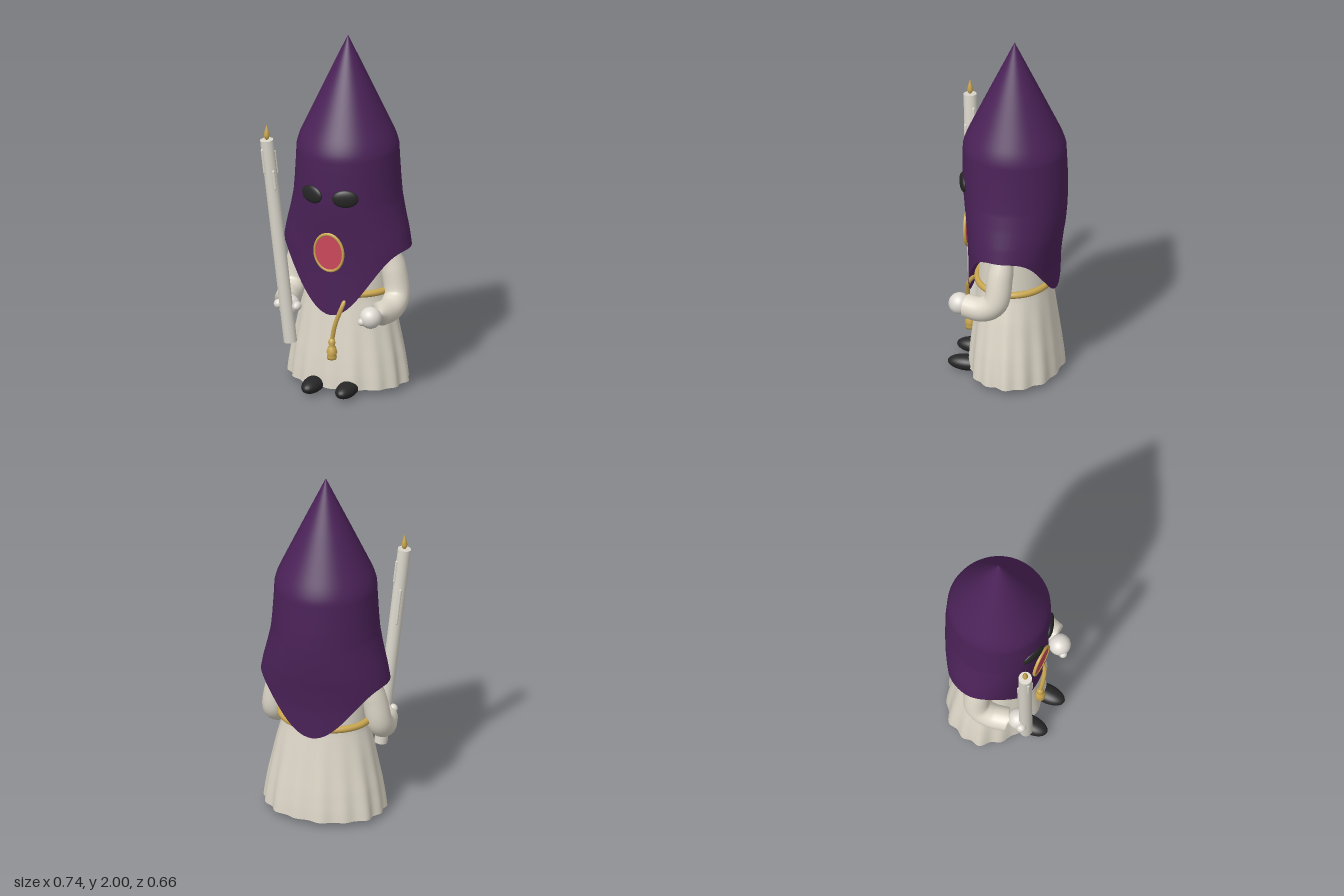
import * as THREE from 'three';

const mat = (name, color, side = THREE.FrontSide) => {
  const m = new THREE.MeshStandardMaterial({ color, side });
  m.name = name;
  return m;
};

// Piecewise interpolation in rows of [key, value, value...], keys descending
function sample(rows, y) {
  if (y >= rows[0][0]) return rows[0].slice(1);
  for (let i = 1; i < rows.length; i++) {
    const [a, b] = [rows[i - 1], rows[i]];
    if (y >= b[0]) {
      const t = (a[0] - y) / (a[0] - b[0]);
      return a.slice(1).map((v, k) => THREE.MathUtils.lerp(v, b[k + 1], t));
    }
  }
  return rows[rows.length - 1].slice(1);
}

// Closed rings from top to bottom; point(angle, v) gives a position, angle 0 faces the front
function loft(point, around, down) {
  const pos = [], idx = [];
  for (let j = 0; j <= down; j++)
    for (let i = 0; i < around; i++) pos.push(...point((i / around) * Math.PI * 2, j / down));
  for (let j = 0; j < down; j++)
    for (let i = 0; i < around; i++) {
      const n = (i + 1) % around;
      const a = j * around + i, b = j * around + n, c = a + around, d = b + around;
      idx.push(a, c, b, b, c, d);
    }
  const g = new THREE.BufferGeometry();
  g.setAttribute('position', new THREE.Float32BufferAttribute(pos, 3));
  g.setIndex(idx);
  g.computeVertexNormals();
  return g;
}

// Tube whose radius follows a list of values along its path
function taperedTube(points, radii, seg = 28, sides = 20) {
  const curve = new THREE.CatmullRomCurve3(points.map(p => new THREE.Vector3(...p)));
  const g = new THREE.TubeGeometry(curve, seg, 1, sides);
  const p = g.attributes.position, v = new THREE.Vector3();
  for (let i = 0; i < p.count; i++) {
    const t = Math.floor(i / (sides + 1)) / seg;
    const f = t * (radii.length - 1), k = Math.min(Math.floor(f), radii.length - 2);
    const r = t === 1 || t === 0 ? 0.001 : THREE.MathUtils.lerp(radii[k], radii[k + 1], f - k);
    const c = curve.getPointAt(t);
    v.fromBufferAttribute(p, i).sub(c).multiplyScalar(r).add(c);
    p.setXYZ(i, v.x, v.y, v.z);
  }
  return g;
}

export function createModel() {
  const root = new THREE.Group();
  const purple = mat('purple cloth', 0x4b2258, THREE.DoubleSide);
  const cream = mat('cream cloth', 0xddd7c8, THREE.DoubleSide);
  const white = mat('pale glove', 0xdedad2);
  const wax = mat('candle wax', 0xdad6cb);
  const gold = mat('gold', 0xc9a650);
  const black = mat('black', 0x262626);
  const red = mat('red', 0xcc485a);

  const add = (name, geo, material, pos = [0, 0, 0], parent = root) => {
    const m = new THREE.Mesh(geo, material);
    m.name = name;
    m.position.set(...pos);
    parent.add(m);
    return m;
  };
  const ball = (name, material, pos, sx, sy = sx, sz = sx, parent = root) => {
    const m = add(name, new THREE.SphereGeometry(1, 28, 18), material, pos, parent);
    m.scale.set(sx, sy, sz);
    return m;
  };

  // Pointed hood: cone above, flaring cape below with pointed front and back
  const hoodRows = [ // y, half width, front depth, back depth
    [2, 0.001, 0.001, 0.001], [1.985, 0.008, 0.008, 0.008], [1.7, 0.14, 0.14, 0.14],
    [1.46, 0.25, 0.25, 0.25], [1.42, 0.267, 0.267, 0.267], [1.38, 0.277, 0.28, 0.28],
    [1.3, 0.281, 0.282, 0.284], [1.18, 0.289, 0.28, 0.289], [1.09, 0.298, 0.275, 0.288],
    [1.0, 0.318, 0.265, 0.283], [0.9, 0.344, 0.252, 0.272], [0.82, 0.36, 0.245, 0.258],
    [0.7, 0.362, 0.24, 0.243], [0.46, 0.362, 0.237, 0.235]];
  const split = 0.38;
  add('hood', loft((a, v) => {
    const c = Math.cos(a), s = Math.sin(a);
    const hem = 0.82 - (c > 0 ? 0.36 : 0.29) * Math.pow(Math.abs(c), 3.7);
    const y = v < split ? 2 - 0.62 * (v / split) : 1.38 + (hem - 1.38) * ((v - split) / (1 - split));
    const [w, f, b] = sample(hoodRows, y);
    return [s * w, y, -0.04 + c * (c > 0 ? f : b)];
  }, 96, 60), purple);

  // Robe with folds deepening toward the open hem
  const robeRows = [ // y, half width, half depth
    [1.1, 0.001, 0.001], [1.05, 0.13, 0.11], [0.95, 0.2, 0.16], [0.8, 0.23, 0.185],
    [0.6, 0.235, 0.195], [0.55, 0.235, 0.197], [0.4, 0.272, 0.215], [0.2, 0.312, 0.238],
    [0.1, 0.327, 0.247], [0.035, 0.334, 0.25]];
  add('robe', loft((a, v) => {
    const y = 1.1 - 1.065 * v;
    const [w, d] = sample(robeRows, y);
    const k = THREE.MathUtils.clamp((0.56 - y) / 0.52, 0, 1);
    const fold = 1 + k * (0.026 * Math.cos(15 * a + 0.6) + 0.014 * Math.sin(8 * a));
    return [Math.sin(a) * w * fold, y, -0.045 - 0.008 * k + Math.cos(a) * d * fold];
  }, 128, 44), cream);

  // Rope belt
  const belt = add('belt', new THREE.TorusGeometry(1, 0.08, 12, 64), gold, [0, 0.575, -0.046]);
  belt.rotation.x = Math.PI / 2;
  belt.scale.set(0.247, 0.205, 0.23);

  // Hanging cord and tassel
  add('beltCord', taperedTube([[0.085, 0.58, 0.16], [0.07, 0.52, 0.2], [0.035, 0.42, 0.21], [0.012, 0.32, 0.205]],
    [0.012, 0.012], 20, 10), gold);
  const tassel = [[0.001, 0.335], [0.016, 0.325], [0.02, 0.305], [0.014, 0.288], [0.022, 0.28],
    [0.03, 0.25], [0.024, 0.238], [0.027, 0.225], [0.025, 0.212], [0.001, 0.208]].reverse();
  add('tassel', new THREE.LatheGeometry(tassel.map(p => new THREE.Vector2(...p)), 20), gold, [0.012, 0, 0.205]);

  // Oval badge with gold rim
  const badge = new THREE.Group();
  badge.name = 'badge';
  badge.position.set(0, 0.83, 0.218);
  badge.rotation.x = 0.04;
  root.add(badge);
  const disc = add('badgeFace', new THREE.CylinderGeometry(1, 1, 0.008, 48), red, [0, 0, 0], badge);
  disc.rotation.x = Math.PI / 2;
  disc.scale.set(0.084, 1, 0.106);
  const rim = add('badgeRim', new THREE.TorusGeometry(1, 0.085, 10, 48), gold, [0, 0, 0], badge);
  rim.scale.set(0.084, 0.106, 0.1);

  // Eyes, feet and arms, mirrored
  for (const s of [1, -1]) {
    const side = s > 0 ? 'left' : 'right';
    const eye = ball(side + 'Eye', black, [s * 0.098, 1.155, 0.221], 0.072, 0.05, 0.02);
    eye.rotation.y = s * 0.36;
    ball(side + 'Foot', black, [s * 0.1, 0.046, 0.2], 0.054, 0.042, 0.106);
    add(side + 'Sleeve', taperedTube(
      [[s * 0.235, 0.8, -0.035], [s * 0.272, 0.7, -0.03], [s * 0.3, 0.55, -0.01],
        [s * 0.298, 0.5, 0.06], [s * 0.272, 0.495, 0.17]],
      [0.055, 0.07, 0.07, 0.07, 0.07, 0.067, 0.066], 32), cream);
    ball(side + 'Hand', white, [s * 0.24, 0.485, 0.205], 0.06);
  }
  ball('leftThumb', white, [0.205, 0.468, 0.243], 0.022);
  ball('rightFinger', white, [-0.285, 0.5, 0.245], 0.026);
  ball('rightThumb', white, [-0.183, 0.495, 0.228], 0.023, 0.025, 0.032);

  // Leaning candle with wax drips; local y runs along its length
  const base = new THREE.Vector3(-0.218, 0.29, 0.238), tip = new THREE.Vector3(-0.333, 1.46, 0.295);
  const dir = tip.clone().sub(base), len = dir.length();
  const candle = new THREE.Group();
  candle.name = 'candle';
  candle.position.copy(base);
  candle.quaternion.setFromUnitVectors(new THREE.Vector3(0, 1, 0), dir.normalize());
  root.add(candle);
  add('candleStick', new THREE.CylinderGeometry(0.036, 0.036, len, 32), wax, [0, len / 2, 0], candle);
  for (const [a, y, h] of [[-0.6, 1.06, 0.13], [0.9, 0.95, 0.1], [3.6, 0.84, 0.2], [2.3, 1.04, 0.12]])
    add('waxDrip', new THREE.CapsuleGeometry(0.008, h, 6, 10), wax,
      [Math.sin(a) * 0.036, y, Math.cos(a) * 0.036], candle);
  const flame = [[0.001, 0], [0.012, 0.012], [0.016, 0.03], [0.011, 0.055], [0.001, 0.088]];
  add('flame', new THREE.LatheGeometry(flame.map(p => new THREE.Vector2(...p)), 16), gold, [-0.333, 1.457, 0.295]);

  return root;
}
